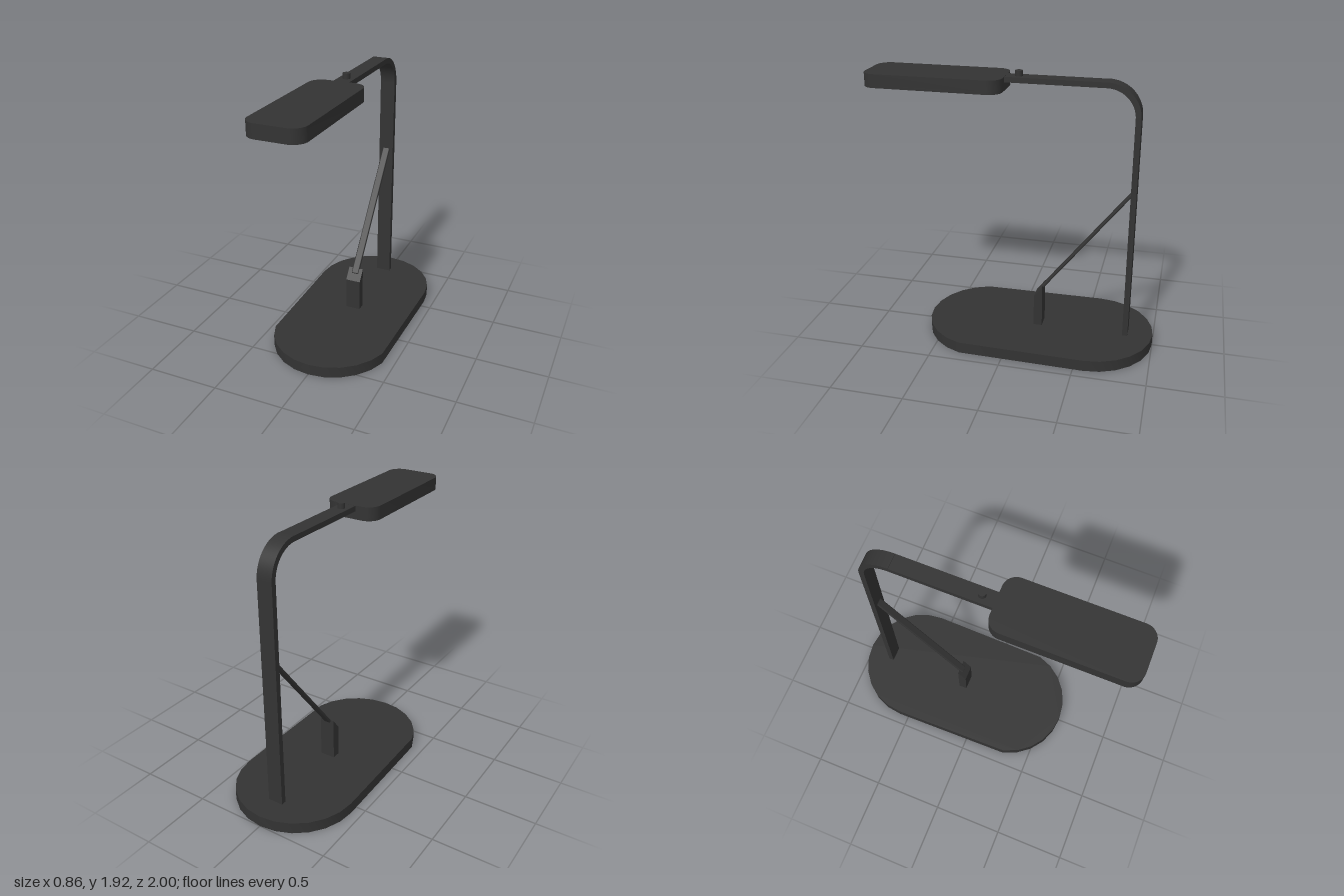
import * as THREE from 'three';
import { toCreasedNormals } from 'three/addons/utils/BufferGeometryUtils.js';
import { RoundedBoxGeometry } from 'three/addons/geometries/RoundedBoxGeometry.js';

const dark = new THREE.MeshStandardMaterial({ color: 0x333333 });
const pale = new THREE.MeshStandardMaterial({ color: 0x888888 });

function part(name, geometry, material = dark) {
  const mesh = new THREE.Mesh(geometry, material);
  mesh.name = name;
  return mesh;
}

// Extrude a plan outline (x, -z) upward from y0 to y1
function plate(shape, y0, y1) {
  const g = new THREE.ExtrudeGeometry(shape, { depth: y1 - y0, bevelEnabled: false, curveSegments: 8 });
  g.rotateX(-Math.PI / 2).translate(0, y0, 0);
  return toCreasedNormals(g, 0.6);
}

// Extrude a side profile (z, y) across the width, centred on x = 0
function sideProfile(shape, width) {
  const g = new THREE.ExtrudeGeometry(shape, { depth: width, bevelEnabled: false, curveSegments: 12 });
  g.rotateY(-Math.PI / 2).translate(width / 2, 0, 0);
  return toCreasedNormals(g, 0.6);
}

// Rounded rectangle in plan, between z0 (back) and z1 (front)
function roundedRect(halfW, z0, z1, r, Type = THREE.Shape) {
  const s = new Type();
  const b = -z1, t = -z0;
  s.moveTo(-halfW + r, b);
  s.lineTo(halfW - r, b);
  s.absarc(halfW - r, b + r, r, -Math.PI / 2, 0, false);
  s.lineTo(halfW, t - r);
  s.absarc(halfW - r, t - r, r, 0, Math.PI / 2, false);
  s.lineTo(-halfW + r, t);
  s.absarc(-halfW + r, t - r, r, Math.PI / 2, Math.PI, false);
  s.lineTo(-halfW, b + r);
  s.absarc(-halfW + r, b + r, r, Math.PI, Math.PI * 1.5, false);
  return s;
}

export function createModel() {
  const lamp = new THREE.Group();
  lamp.name = 'deskLamp';

  // Base: long slab with faceted half-round ends
  const R = 0.43, pts = [];
  for (let i = 0; i <= 12; i++) {
    const a = (i * Math.PI) / 12;
    pts.push(new THREE.Vector2(R * Math.cos(a), 0.57 + R * Math.sin(a)));
  }
  for (let i = 1; i < 12; i++) {
    const a = Math.PI + (i * Math.PI) / 12;
    pts.push(new THREE.Vector2(R * Math.cos(a), -0.195 + R * Math.sin(a)));
  }
  lamp.add(part('base', plate(new THREE.Shape(pts), 0, 0.08)));

  // Arm: flat strip rising from the base and bending forward
  const top = 1.887, back = -0.827, t = 0.037, bend = 0.225;
  const arm = new THREE.Shape();
  arm.moveTo(back, 0.07);
  arm.lineTo(back + t, 0.07);
  arm.lineTo(back + t, top - bend);
  arm.absarc(back + bend, top - bend, bend - t, Math.PI, Math.PI / 2, true);
  arm.lineTo(0.08, top - t);
  arm.lineTo(0.08, top - 0.001);
  arm.lineTo(back + bend, top - 0.001);
  arm.absarc(back + bend, top - bend, bend, Math.PI / 2, Math.PI, false);
  lamp.add(part('arm', sideProfile(arm, 0.108)));

  // Small button on the arm
  const button = part('button', new THREE.CylinderGeometry(0.025, 0.025, 0.045, 24));
  button.position.set(0, 1.9, -0.025);
  lamp.add(button);

  // Post with a slanted top
  const post = new THREE.Shape();
  post.moveTo(-0.21, 0.07);
  post.lineTo(-0.15, 0.07);
  post.lineTo(-0.15, 0.313);
  post.lineTo(-0.21, 0.392);
  lamp.add(part('post', sideProfile(post, 0.108)));

  // Diagonal brace from the post to the arm
  const from = new THREE.Vector3(0, 0.355, -0.188), to = new THREE.Vector3(0, 1.15, -0.805);
  const dir = to.clone().sub(from);
  const brace = part('brace', new RoundedBoxGeometry(0.054, dir.length(), 0.02, 3, 0.008));
  brace.position.copy(from).add(to).multiplyScalar(0.5);
  brace.quaternion.setFromUnitVectors(new THREE.Vector3(0, 1, 0), dir.normalize());
  lamp.add(brace);

  // Lamp head: top shell, lower rim and recessed light panel
  const head = new THREE.Group();
  head.name = 'head';
  const rim = roundedRect(0.187, 0.06, 1, 0.09);
  rim.holes.push(roundedRect(0.169, 0.078, 0.982, 0.072, THREE.Path));
  head.add(part('headShell', plate(roundedRect(0.187, 0.06, 1, 0.09), 1.815, top)));
  head.add(part('headRim', plate(rim, 1.795, 1.815)));
  head.add(part('lightPanel', plate(roundedRect(0.169, 0.078, 0.982, 0.072), 1.807, 1.82), pale));
  lamp.add(head);

  return lamp;
}
